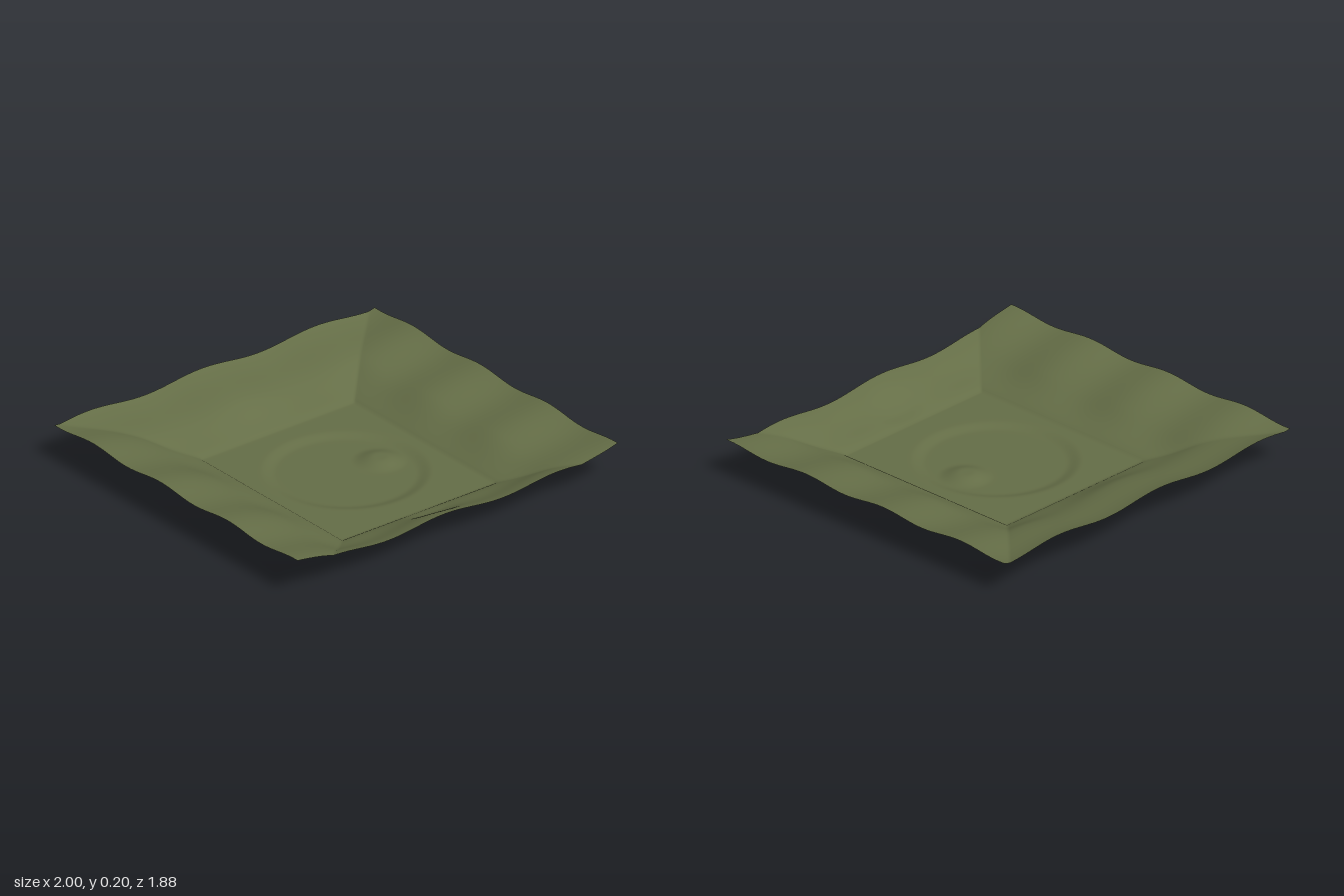
import * as THREE from 'three';

const WIDTH = 2, DEPTH = 1.88;

// Cosine bump: 1 at the peaks, given one peak position and the period
const wave = (v, peak, period) => Math.cos((2 * Math.PI * (v - peak)) / period);

// Smooth disc: 1 inside the inner radius, 0 outside the outer one
const disc = (x, z, cx, cz, inner, outer) =>
  1 - THREE.MathUtils.smoothstep(Math.hypot(x - cx, z - cz), inner, outer);

function height(x, z) {
  // Distance outside the rectangular floor, mitred at its corners
  const d = Math.max(0, Math.abs(x) - 0.475, -0.45 - z, z - 0.64);
  // Banks rising around the floor
  let y = 0.019 + 0.176 * Math.pow(d / 0.525, 0.82);
  // Rolling waves that fade out on the floor
  const fade = THREE.MathUtils.smoothstep(d, 0, 0.22);
  y += fade * (0.015 * wave(x, -0.08, 0.71) + 0.011 * wave(z, 0.4, 0.52));
  // Round shallow pan, small mound in it and soft dent in the front bank
  y -= 0.016 * disc(x, z, 0, 0.08, 0.34, 0.42);
  y += 0.024 * disc(x, z, 0.21, 0.08, 0.03, 0.14);
  y -= 0.014 * disc(x, z, 0, 0.73, 0.03, 0.17) * Math.min(1, d / 0.08);
  return Math.max(0, y - 0.003);
}

export function createModel() {
  const group = new THREE.Group();
  group.name = 'terrain';

  const ground = new THREE.MeshStandardMaterial({ color: 0x656e47, side: THREE.DoubleSide });
  ground.name = 'olive ground';

  // Ground sheet shaped by the height rule
  const geometry = new THREE.PlaneGeometry(WIDTH, DEPTH, 160, 150);
  geometry.rotateX(-Math.PI / 2);
  const p = geometry.attributes.position;
  for (let i = 0; i < p.count; i++) p.setY(i, height(p.getX(i), p.getZ(i)));
  geometry.computeVertexNormals();

  const sheet = new THREE.Mesh(geometry, ground);
  sheet.name = 'groundSheet';
  group.add(sheet);
  return group;
}
